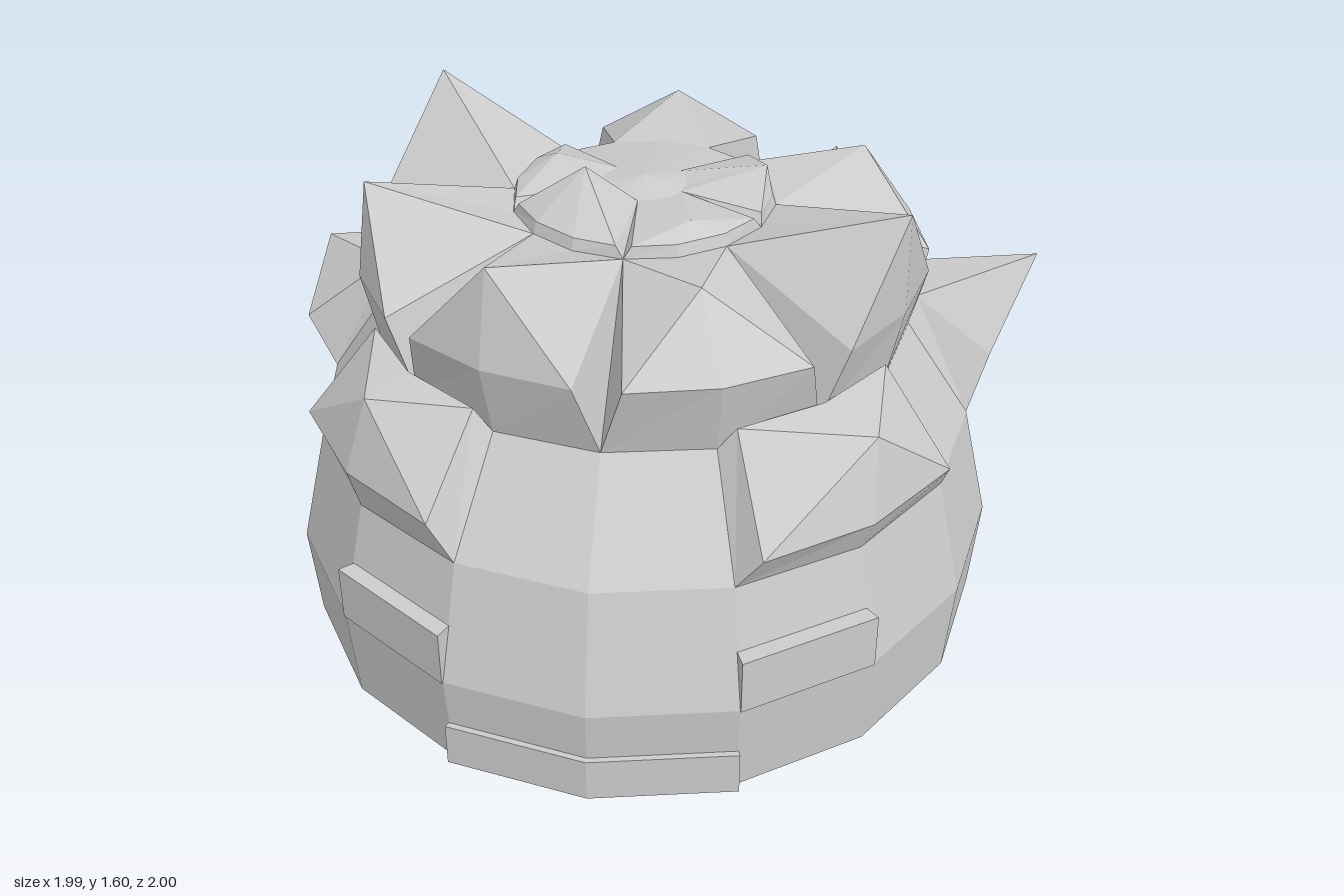
import * as THREE from 'three';

const SIDES = 16;
// body rings from the bottom up: [y, radius x, radius z]
const RINGS = [
  [0, 0.46, 0.48], [0.13, 0.77, 0.80], [0.31, 0.93, 0.975], [0.57, 0.95, 0.995],
  [0.88, 0.875, 0.91], [1.14, 0.70, 0.71], [1.46, 0.34, 0.35], [1.5, 0.11, 0.11],
];

// point on an elliptical ring; step 0 faces +z, step 4 faces +x
function ringPoint([y, rx, rz], step) {
  const a = (step / SIDES) * Math.PI * 2;
  return [-0.03 + rx * Math.sin(a), y, rz * Math.cos(a)];
}

// collects flat faces (corners counter-clockwise from outside) into one mesh
function faceMesh(name, material, build) {
  const pos = [];
  const face = (...p) => {
    for (let i = 1; i < p.length - 1; i++) pos.push(...p[0], ...p[i], ...p[i + 1]);
  };
  build(face);
  const g = new THREE.BufferGeometry();
  g.setAttribute('position', new THREE.Float32BufferAttribute(pos, 3));
  g.computeVertexNormals();
  const mesh = new THREE.Mesh(g, material);
  mesh.name = name;
  return mesh;
}

// faceted leaf between two rings: wall up to a lip, then facets rising to a peak
function leaf(name, material, low, high, k0, k1, { lip, flare, inset = 0.15, raise = 0, peak }) {
  const [ly, lx, lz] = RINGS[low];
  const steps = k1 - k0;
  const outer = [], edge = [], back = [], shoulder = [];
  for (let i = 0; i <= steps; i++) {
    const k = k0 + i;
    const squeezed = k + (i === 0 ? inset : i === steps ? -inset : 0);
    outer.push(ringPoint(RINGS[low], k));
    edge.push(ringPoint([lip, lx + flare, lz + flare], squeezed));
    back.push(ringPoint(RINGS[high], k));
    const [hy, hx, hz] = RINGS[high];
    shoulder.push(ringPoint([hy + raise, hx + raise * 0.3, hz + raise * 0.3], raise ? squeezed : k));
  }
  return faceMesh(name, material, (face) => {
    for (let i = 0; i < steps; i++) {
      face(outer[i], outer[i + 1], edge[i + 1], edge[i]);
      face(edge[i], edge[i + 1], peak);
      face(shoulder[i + 1], shoulder[i], peak);
      if (raise) face(back[i + 1], back[i], shoulder[i], shoulder[i + 1]);
    }
    const n = steps;
    face(edge[0], peak, shoulder[0]);
    face(edge[n], shoulder[n], peak);
    face(outer[0], edge[0], shoulder[0], back[0]);
    face(outer[n], back[n], shoulder[n], edge[n]);
  });
}

// thin raised plate following the body facets
function plate(name, material, k0, k1, y0, y1, rx, rz) {
  return faceMesh(name, material, (face) => {
    const at = (y, k, d) => ringPoint([y, rx - d, rz - d], k);
    const t = 0.09;
    for (let k = k0; k < k1; k++) {
      face(at(y0, k, 0), at(y0, k + 1, 0), at(y1, k + 1, 0), at(y1, k, 0));
      face(at(y1, k, 0), at(y1, k + 1, 0), at(y1, k + 1, t), at(y1, k, t));
      face(at(y0, k, t), at(y0, k + 1, t), at(y0, k + 1, 0), at(y0, k, 0));
    }
    face(at(y0, k0, t), at(y0, k0, 0), at(y1, k0, 0), at(y1, k0, t));
    face(at(y0, k1, 0), at(y0, k1, t), at(y1, k1, t), at(y1, k1, 0));
  });
}

export function createModel() {
  const group = new THREE.Group();
  const mat = new THREE.MeshStandardMaterial({
    color: 0xcccccc, flatShading: true, side: THREE.DoubleSide,
  });

  // round body with closed bottom and top
  group.add(faceMesh('body', mat, (face) => {
    const top = RINGS.length - 1;
    for (let k = 0; k < SIDES; k++) {
      for (let r = 0; r < top; r++) {
        face(ringPoint(RINGS[r], k), ringPoint(RINGS[r], k + 1),
          ringPoint(RINGS[r + 1], k + 1), ringPoint(RINGS[r + 1], k));
      }
      face([-0.03, 0, 0], ringPoint(RINGS[0], k + 1), ringPoint(RINGS[0], k));
      face([-0.03, 1.52, 0], ringPoint(RINGS[top], k), ringPoint(RINGS[top], k + 1));
    }
  }));

  // lower leaves: [first step, last step, lip height, flare, peak]
  const lower = [
    [1, 3, 0.97, 0.04, [0.61, 1.17, 0.60]],
    [4, 5, 1.03, 0.05, [1.0, 1.25, -0.23]],
    [6, 7, 1.03, 0.08, [0.43, 1.23, -0.90]],
    [9, 10, 1.03, 0.08, [-0.51, 1.23, -0.89]],
    [11, 12, 1.0, 0.09, [-0.97, 1.16, -0.25]],
    [13, 15, 0.99, 0.03, [-0.62, 1.18, 0.62]],
  ];
  for (const [k0, k1, lip, flare, peak] of lower) {
    group.add(leaf('lowerLeaf', mat, 4, 5, k0, k1, { lip, flare, peak, raise: 0.06 }));
  }

  // upper leaves: [first step, last step, peak]
  const upper = [
    [0, 2, [0.18, 1.49, 0.52]],
    [2, 4, [0.65, 1.60, 0.30]],
    [4, 6, [0.52, 1.46, -0.40]],
    [7, 9, [-0.03, 1.47, -0.69]],
    [10, 12, [-0.67, 1.58, -0.48]],
    [12, 14, [-0.70, 1.56, 0.22]],
    [14, 16, [-0.30, 1.57, 0.64]],
  ];
  for (const [k0, k1, peak] of upper) {
    group.add(leaf('upperLeaf', mat, 5, 6, k0, k1, { lip: 1.33, flare: 0.04, inset: 0.2, peak }));
  }

  // small crown leaves in the middle
  const crown = [
    [0, 3, [0.12, 1.52, 0.24]],
    [3, 6, [0.28, 1.54, -0.06]],
    [10, 13, [-0.27, 1.53, -0.08]],
    [13, 16, [-0.16, 1.59, 0.12]],
  ];
  for (const [k0, k1, peak] of crown) {
    group.add(leaf('crownLeaf', mat, 6, 7, k0, k1, { lip: 1.49, flare: -0.01, peak }));
  }

  // face: mouth band and two cheeks
  group.add(plate('mouth', mat, -1, 1, 0.31, 0.43, 0.96, 1.0));
  group.add(plate('leftCheek', mat, 1, 2, 0.57, 0.72, 0.955, 1.0));
  group.add(plate('rightCheek', mat, -2, -1, 0.57, 0.72, 0.955, 1.0));
  return group;
}
